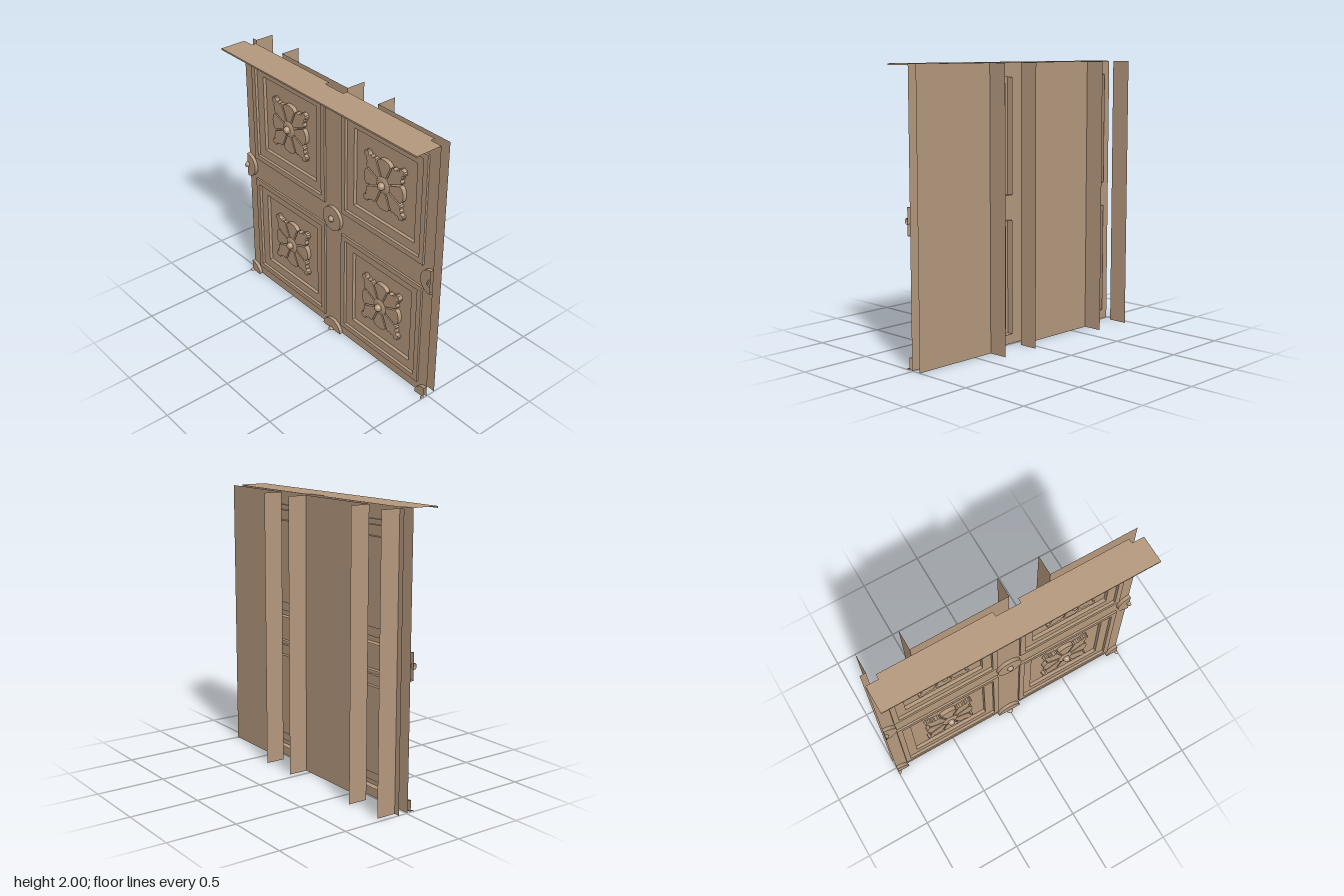
import * as THREE from 'three';
import { toCreasedNormals } from 'three/addons/utils/BufferGeometryUtils.js';

const plaster = new THREE.MeshStandardMaterial({ color: 0xb4987d, side: THREE.DoubleSide });
plaster.name = 'warm plaster';

const V = (x, y) => new THREE.Vector2(x, y);
const PI = Math.PI;

function add(parent, name, geometry, x = 0, y = 0, z = 0) {
  const mesh = new THREE.Mesh(geometry, plaster);
  mesh.name = name;
  mesh.position.set(x, y, z);
  parent.add(mesh);
  return mesh;
}

// Turned profile of [radius, z] points facing the front
function turned(profile, segments, start = 0, length = 2 * PI) {
  const g = new THREE.LatheGeometry(profile.map(([r, z]) => V(r, z)), segments, start, length);
  return toCreasedNormals(g.rotateX(PI / 2), 0.6);
}

// Square stepped profile of [half width, z] points
function squareSteps(profile) {
  const g = new THREE.LatheGeometry(profile.map(([h, z]) => V(h * Math.SQRT2, z)), 4, PI / 4);
  const flat = g.rotateX(PI / 2).toNonIndexed();
  flat.computeVertexNormals();
  return flat;
}

function knobProfile(r, z) {
  return Array.from({ length: 9 }, (_, i) => {
    const a = (i / 8) * PI / 2;
    return [r * Math.cos(a), z + r * Math.sin(a)];
  });
}

function raised(points, z0, z1) {
  const g = new THREE.ExtrudeGeometry(new THREE.Shape(points), { depth: z1 - z0, bevelEnabled: false });
  return g.translate(0, 0, z0);
}

// Broad rounded petal pointing along +y
function petalPoints() {
  const pts = [V(-0.008, 0.03), V(0.008, 0.03), V(0.06, 0.15)];
  for (let i = 0; i <= 10; i++) {
    const a = (i / 10) * PI;
    pts.push(V(0.063 * Math.cos(a), 0.155 + 0.035 * Math.sin(a)));
  }
  pts.push(V(-0.06, 0.15));
  return pts;
}

// Scalloped corner leaf, symmetrical about the diagonal
function leafPoints() {
  const side = [[0.02, 0.028], [0.073, 0.148], [0.078, 0.163], [0.092, 0.17], [0.1, 0.163],
    [0.112, 0.161], [0.122, 0.172], [0.132, 0.174], [0.14, 0.168], [0.147, 0.174],
    [0.152, 0.19], [0.165, 0.193], [0.176, 0.187], [0.18, 0.19]];
  const a = side.map(([x, y]) => V(x, y));
  const b = side.map(([x, y]) => V(y, x)).reverse();
  return [...a, ...b];
}

const petal = raised(petalPoints(), -0.02, 0.012);
const leaf = raised(leafPoints(), -0.02, 0.012);
const hub = turned([[0.062, -0.02], [0.062, 0.014], [0.054, 0.02], [0.03, 0.022], [0, 0.022]], 32);
const hubKnob = turned(knobProfile(0.027, 0.03), 24);
const hubStem = turned([[0.027, 0.02], [0.027, 0.03]], 24);
const coffer = squareSteps([[0.41, -0.022], [0.41, 0.025], [0.37, 0.025], [0.37, 0.004],
  [0.3, 0.004], [0.3, -0.022], [0, -0.022]]);

function rosette() {
  const group = new THREE.Group();
  group.name = 'rosette';
  for (let i = 0; i < 4; i++) {
    add(group, 'petal', petal).rotation.z = i * PI / 2;
    add(group, 'cornerLeaf', leaf).rotation.z = i * PI / 2;
  }
  add(group, 'hub', hub);
  add(group, 'hubStem', hubStem);
  add(group, 'hubKnob', hubKnob);
  return group;
}

export function createModel() {
  const model = new THREE.Group();
  model.name = 'cofferedPanel';

  // Front sheet with four square openings
  const sheet = new THREE.Shape([V(-1, 0), V(1, 0), V(1, 2), V(-1, 2)]);
  for (const x of [-0.5, 0.5]) {
    for (const y of [0.49, 1.49]) {
      const h = 0.41;
      sheet.holes.push(new THREE.Path([V(x - h, y - h), V(x - h, y + h), V(x + h, y + h), V(x + h, y - h)]));
      add(model, 'coffer', coffer, x, y);
      const flower = rosette();
      flower.position.set(x, y, 0);
      model.add(flower);
    }
  }
  add(model, 'frontSheet', new THREE.ShapeGeometry(sheet), 0, 0, 0.01);

  // Roundels on the frame crossings, cut off at the edges of the panel
  const discs = [
    [-1, 0.99, 0, PI], [0, 0.99, 0, 2 * PI], [1, 0.99, PI, PI],
    [-1, 0, PI / 2, PI / 2], [0, 0, PI / 2, PI], [1, 0, PI, PI / 2],
  ];
  for (const [x, y, start, length] of discs) {
    const n = Math.round(40 * length / (2 * PI));
    const disc = add(model, 'roundel',
      turned([[0.095, 0.01], [0.095, 0.036], [0, 0.036]], n, start, length), x, y);
    const knob = add(model, 'roundelKnob',
      turned([[0.024, 0.034], ...knobProfile(0.024, 0.037)], n, start, length), x, y);
    if (y === 0) {
      disc.scale.y = 0.9;
      knob.scale.y = 0.58;
    }
  }

  // Top ledge with tabs behind the coffers and a small front lip
  const ledge = new THREE.Shape([V(-1, 0.21), V(1, 0.21), V(1, 0.01), V(0.91, 0.01), V(0.91, -0.025),
    V(0.09, -0.025), V(0.09, 0.01), V(-0.09, 0.01), V(-0.09, -0.025), V(-0.91, -0.025),
    V(-0.91, 0.01), V(-1, 0.01)].map(p => V(p.x, -p.y)));
  add(model, 'topLedge', new THREE.ShapeGeometry(ledge).rotateX(-PI / 2), 0, 2, 0);
  add(model, 'ledgeLip', new THREE.PlaneGeometry(2, 0.012), 0, 1.994, 0.21);

  // Backing boards with open slots between them
  for (const [x0, x1] of [[-1, -0.957], [-0.655, 0.05], [0.35, 1]]) {
    add(model, 'backBoard', new THREE.PlaneGeometry(x1 - x0, 2).rotateY(PI), (x0 + x1) / 2, 1, -0.065);
  }
  // Upright fins along the slots
  for (const x of [-0.957, -0.655, 0.05, 0.35]) {
    add(model, 'backFin', new THREE.PlaneGeometry(0.145, 2).rotateY(PI / 2), x, 1, -0.1375);
  }
  return model;
}
